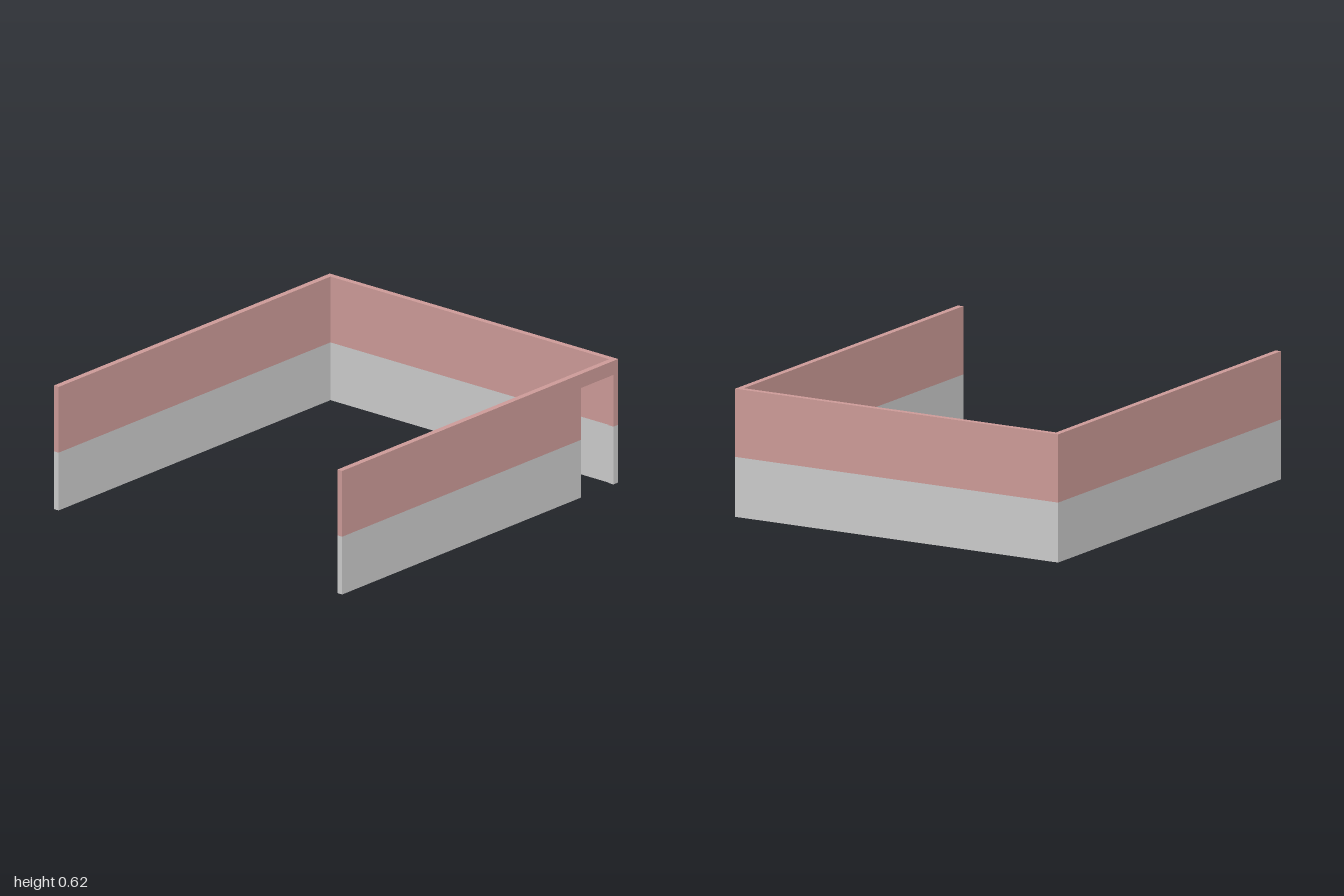
import * as THREE from 'three';

const W = 0.893, D = 1, T = 0.03;            // half width, half depth, wall thickness
const H = 0.62, SPLIT = 0.29;                // wall height, height of the colour change
const DOOR = { back: -0.965, front: -0.73, top: 0.55 };

const lowerMat = new THREE.MeshStandardMaterial({ color: 0xcccccc });
const upperMat = new THREE.MeshStandardMaterial({ color: 0xcd9b98 });

// Extrude a flat wall outline to the wall thickness
function slab(name, points, material) {
  const shape = new THREE.Shape(points.map(([u, v]) => new THREE.Vector2(u, v)));
  const mesh = new THREE.Mesh(
    new THREE.ExtrudeGeometry(shape, { depth: T, bevelEnabled: false }), material);
  mesh.name = name;
  return mesh;
}

const rect = (u0, u1, v0, v1) => [[u0, v0], [u1, v0], [u1, v1], [u0, v1]];

function wall(name, ...slabs) {
  const group = new THREE.Group();
  group.name = name;
  group.add(...slabs);
  return group;
}

export function createModel() {
  const model = new THREE.Group();
  model.name = 'threeSidedWall';

  // Back wall, fitted between the side walls
  const b = W - T;
  const back = wall('backWall',
    slab('backLowerBand', rect(-b, b, 0, SPLIT), lowerMat),
    slab('backUpperBand', rect(-b, b, SPLIT, H), upperMat));
  back.position.z = -D;

  // Solid side wall
  const right = wall('rightWall',
    slab('rightLowerBand', rect(-D, D, 0, SPLIT), lowerMat),
    slab('rightUpperBand', rect(-D, D, SPLIT, H), upperMat));
  right.rotation.y = -Math.PI / 2;
  right.position.x = -W + T;

  // Side wall with a doorway next to the back corner
  const left = wall('leftWall',
    slab('leftLowerBand', rect(DOOR.front, D, 0, SPLIT), lowerMat),
    slab('doorJambLower', rect(-D, DOOR.back, 0, SPLIT), lowerMat),
    slab('leftUpperBandWithDoorway', [
      [-D, SPLIT], [DOOR.back, SPLIT], [DOOR.back, DOOR.top], [DOOR.front, DOOR.top],
      [DOOR.front, SPLIT], [D, SPLIT], [D, H], [-D, H],
    ], upperMat));
  left.rotation.y = -Math.PI / 2;
  left.position.x = W;

  model.add(back, right, left);
  return model;
}
